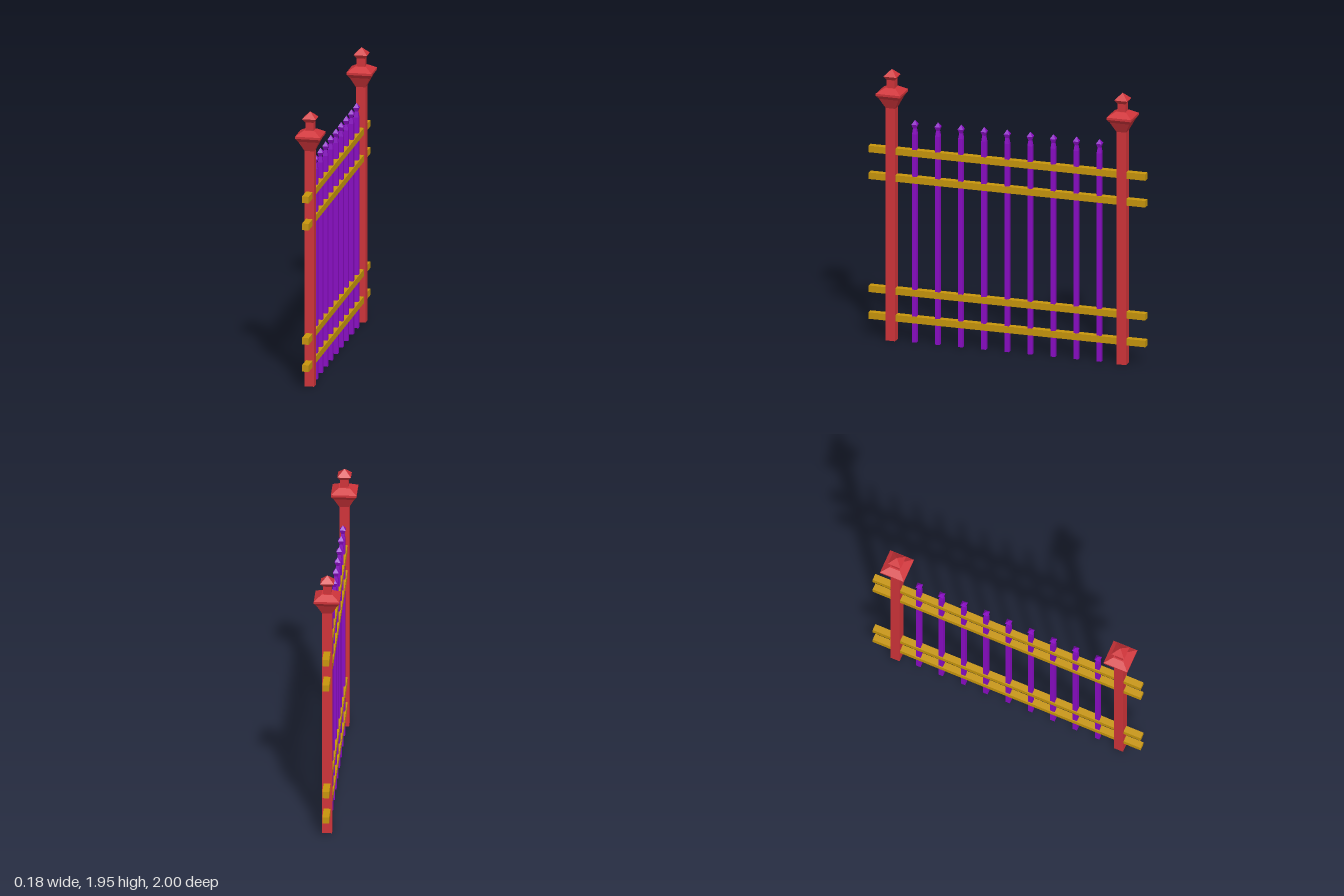
import * as THREE from 'three';

const RED = new THREE.MeshStandardMaterial({ color: 0xd0343a, flatShading: true });
const GOLD = new THREE.MeshStandardMaterial({ color: 0xc8960c, flatShading: true });
const PURPLE = new THREE.MeshStandardMaterial({ color: 0x8a0cc4, flatShading: true });

// Square turned shape from a profile of [half width, height], bottom to top
function squareTurned(profile) {
  const points = profile.map(([half, y]) => new THREE.Vector2(half * Math.SQRT2, y));
  return new THREE.LatheGeometry(points, 4).rotateY(Math.PI / 4);
}

export function createModel() {
  const fence = new THREE.Group();
  fence.name = 'fencePanel';
  const shift = 0.005; // posts and pickets sit slightly forward of the rails' centre

  const add = (name, geometry, material, y, z) => {
    const mesh = new THREE.Mesh(geometry, material);
    mesh.name = name;
    mesh.position.set(0, y, z);
    fence.add(mesh);
  };

  // Posts with flared cap and pointed finial
  const shaft = squareTurned([[0, 0], [0.034, 0], [0.034, 1.675]]);
  const cap = squareTurned([
    [0.034, 1.675], [0.07, 1.748], [0.088, 1.772], [0.088, 1.788], [0.038, 1.82], [0, 1.82],
  ]);
  const finial = squareTurned([
    [0.029, 1.81], [0.029, 1.877], [0.047, 1.903], [0, 1.95],
  ]);
  for (const [side, z] of [['front', 0.834], ['back', -0.834]]) {
    add(side + 'Post', shaft, RED, 0, z + shift);
    add(side + 'PostCap', cap, RED, 0, z + shift);
    add(side + 'PostFinial', finial, RED, 0, z + shift);
  }

  // Horizontal rails
  const rail = new THREE.BoxGeometry(0.047, 0.047, 2);
  [0.163, 0.356, 1.17, 1.363].forEach((y, i) => add('rail' + (i + 1), rail, GOLD, y, 0));

  // Spear-tipped pickets
  const picket = squareTurned([
    [0, 0], [0.0165, 0], [0.0165, 1.5], [0.011, 1.54], [0.02, 1.568], [0, 1.6],
  ]);
  for (let i = 0; i < 9; i++) {
    add('picket' + (i + 1), picket, PURPLE, 0, (i - 4) * 0.1668 + shift);
  }

  return fence;
}
